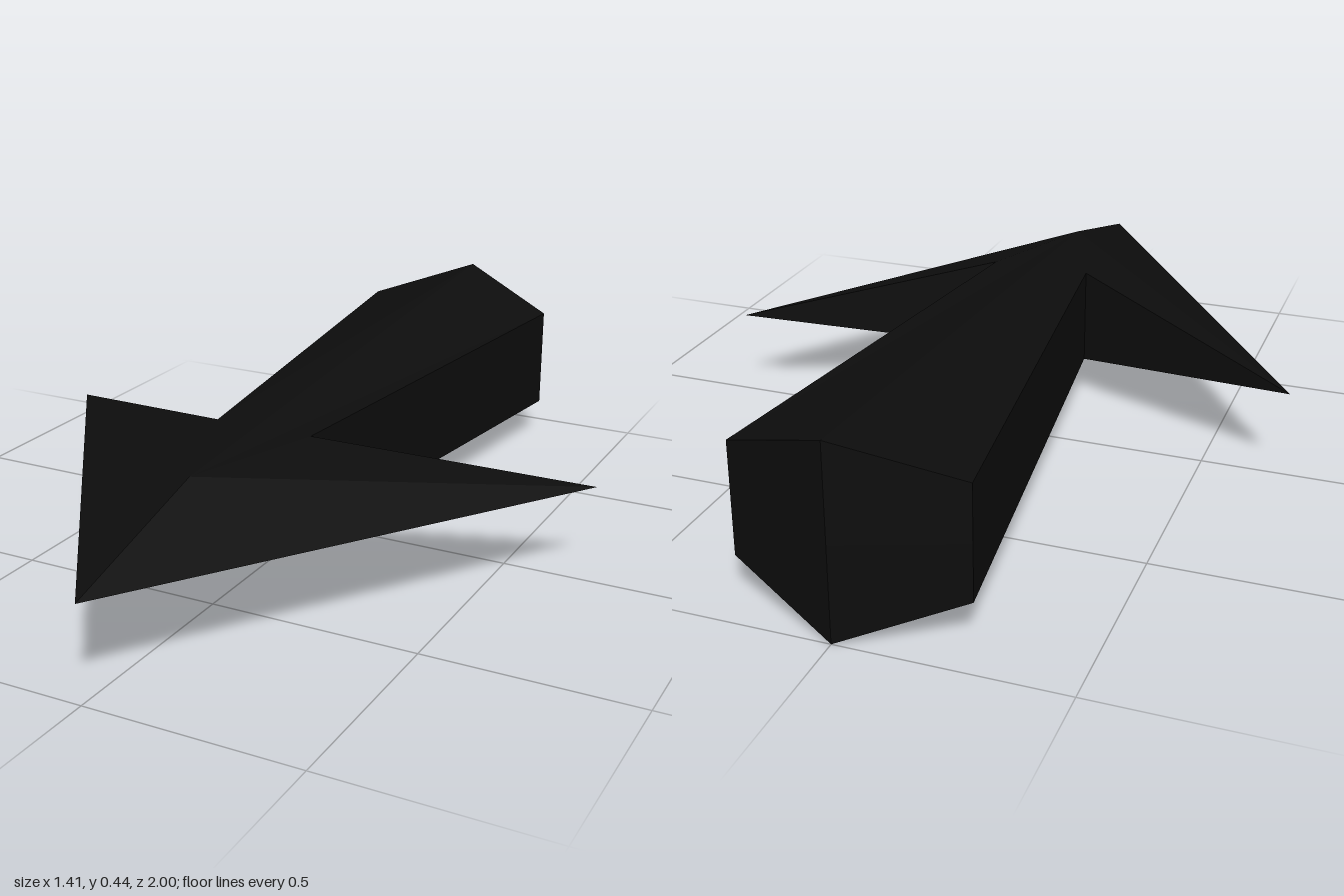
import * as THREE from 'three';

const MID = 0.2225; // height of the horizontal symmetry plane

// Mirrors faces of one quarter (right of x = 0, above MID) into all four quarters
function mirroredGeometry(faces) {
  const positions = [];
  for (const sx of [1, -1]) {
    for (const sy of [1, -1]) {
      for (const face of faces) {
        const pts = face.map(([x, y, z]) => [x * sx, MID + y * sy, z]);
        if (sx * sy < 0) pts.reverse();
        for (let i = 1; i < pts.length - 1; i++) {
          positions.push(...pts[0], ...pts[i], ...pts[i + 1]);
        }
      }
    }
  }
  const geometry = new THREE.BufferGeometry();
  geometry.setAttribute('position', new THREE.Float32BufferAttribute(positions, 3));
  geometry.computeVertexNormals();
  return geometry;
}

export function createModel() {
  const black = new THREE.MeshStandardMaterial({ color: 0x0d0d0d });
  black.name = 'black';

  // Corner points, y measured from the symmetry plane
  const nose = [0, 0, 1];
  const ridge = [0, 0.1125, 0.58];
  const wingTip = [0.704, 0, -0.03];
  const neck = [0.122, 0.119, 0.26];
  const neckMid = [0.122, 0, 0.26];
  const tailSide = [0.26, 0.131, -0.9];
  const tailSideMid = [0.26, 0, -0.9];
  const tailRidge = [0, 0.2225, -1];
  const tailMid = [0, 0, -1];

  // Barbed head: front slopes, wings and the backs of the barbs
  const head = new THREE.Mesh(mirroredGeometry([
    [nose, wingTip, ridge],
    [ridge, wingTip, neck],
    [neck, wingTip, neckMid],
  ]), black);
  head.name = 'arrowHead';

  // Six-sided shaft widening to a pointed rear end
  const shaft = new THREE.Mesh(mirroredGeometry([
    [ridge, neck, tailSide, tailRidge],
    [neckMid, tailSideMid, tailSide, neck],
    [tailMid, tailRidge, tailSide, tailSideMid],
  ]), black);
  shaft.name = 'shaft';

  const model = new THREE.Group();
  model.name = 'arrow';
  model.add(head, shaft);
  return model;
}
